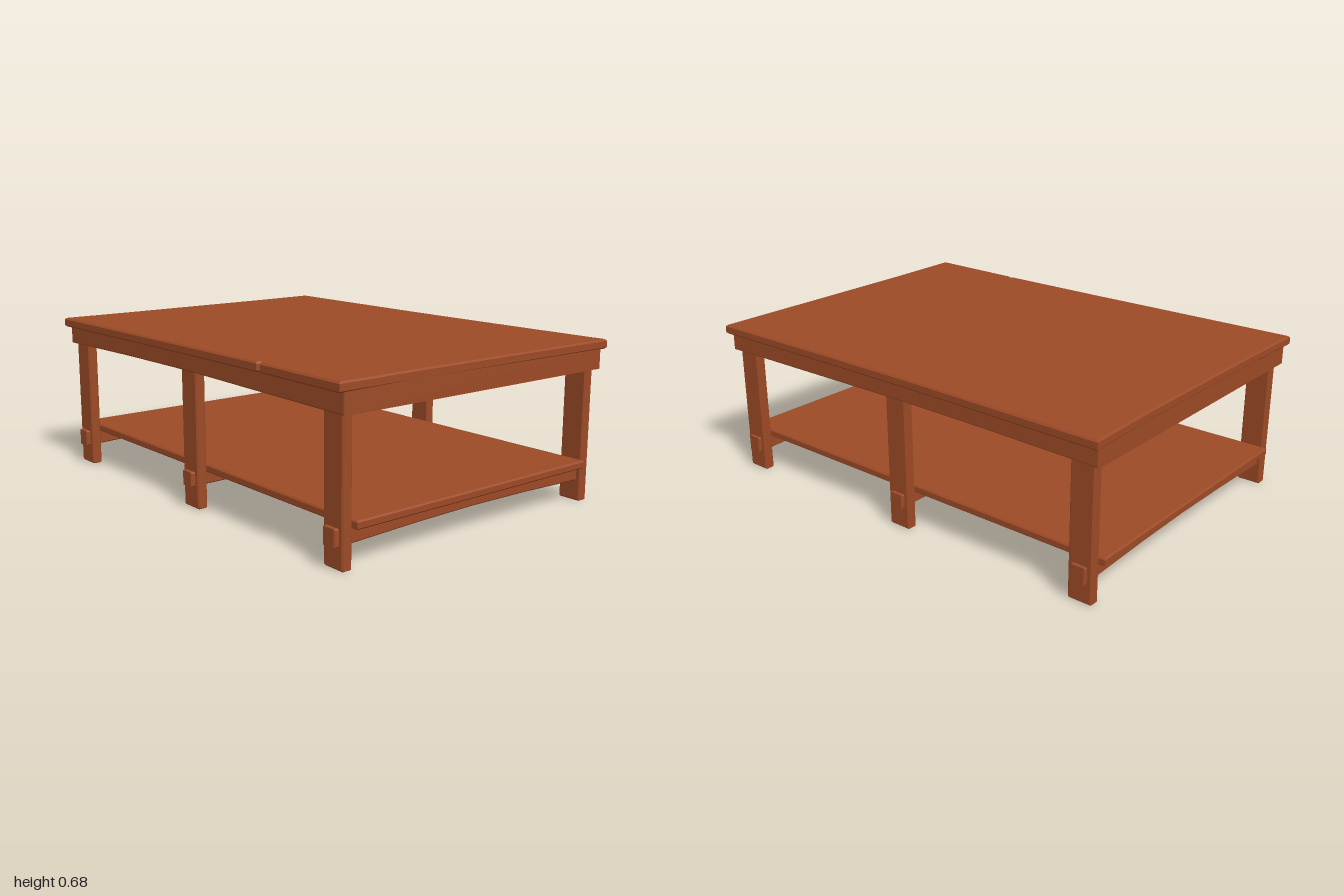
import * as THREE from 'three';

const wood = new THREE.MeshStandardMaterial({ color: 0x9c4a26, flatShading: true });

// Extrudes an outline by depth d (centred), with a small chamfer kept inside the outline.
function slab(points, d, bevel) {
  const shape = new THREE.Shape(points.map(([x, y]) => new THREE.Vector2(x, y)));
  const geo = new THREE.ExtrudeGeometry(shape, {
    depth: d - 2 * bevel, bevelEnabled: true, bevelSegments: 1,
    bevelSize: bevel, bevelThickness: bevel, bevelOffset: -bevel,
  });
  return geo.translate(0, 0, bevel - d / 2);
}

function add(group, name, geo, x = 0, y = 0, z = 0) {
  const mesh = new THREE.Mesh(geo, wood);
  mesh.name = name;
  mesh.position.set(x, y, z);
  group.add(mesh);
  return mesh;
}

export function createModel() {
  const table = new THREE.Group();
  table.name = 'coffeeTable';

  // Table top: slightly waisted board with a small chip in one long edge
  const top = slab([
    [-0.72, -0.99], [-0.711, -0.535], [-0.698, -0.52], [-0.71, -0.51], [-0.71, 0], [-0.72, 0.998],
    [-0.4, 0.99], [0.4, 0.99], [0.715, 0.998], [0.702, 0.1], [0.705, -0.4], [0.715, -0.99], [-0.35, -0.985],
  ].reverse(), 0.04, 0.007).rotateX(-Math.PI / 2);
  add(table, 'tableTop', top, 0, 0.666, 0);

  // Apron block under the top, its lower edge bowed along the length
  const apron = slab([
    [-0.985, 0.566], [-0.45, 0.572], [0, 0.578], [0.45, 0.576], [0.985, 0.568], [0.985, 0.655], [-0.985, 0.655],
  ], 1.38, 0.005).rotateY(Math.PI / 2);
  add(table, 'apron', apron, -0.005, 0, 0);

  // Three pairs of flat legs, each pair joined by an arched stretcher with through tenons
  for (const [z, low] of [[0.91, 0.09], [0.003, 0.098], [-0.905, 0.09]]) {
    for (const side of [-1, 1]) {
      const leg = slab([
        [-0.053, 0.004], [-0.047, 0], [0.047, 0], [0.053, 0.004], [0.053, 0.6], [-0.053, 0.6],
      ], 0.045, 0.006).rotateY(Math.PI / 2);
      add(table, 'leg', leg, side * 0.65 - 0.008, 0.004, z);
    }
    const stretcher = slab([
      [-0.7, low], [-0.63, low + 0.002], [-0.3, 0.102], [0, 0.106], [0.3, 0.102], [0.61, low + 0.002],
      [0.68, low], [0.68, 0.16], [0.6, 0.158], [-0.62, 0.158], [-0.7, 0.16],
    ], 0.066, 0.005);
    add(table, 'stretcher', stretcher, 0, 0, z);
  }

  // Lower shelf resting on the stretchers between the legs
  const shelf = slab([[-0.632, -0.982], [0.615, -0.982], [0.615, 0.982], [-0.632, 0.982]], 0.034, 0.006);
  add(table, 'shelf', shelf.rotateX(-Math.PI / 2), 0, 0.17, 0.002);

  return table;
}
